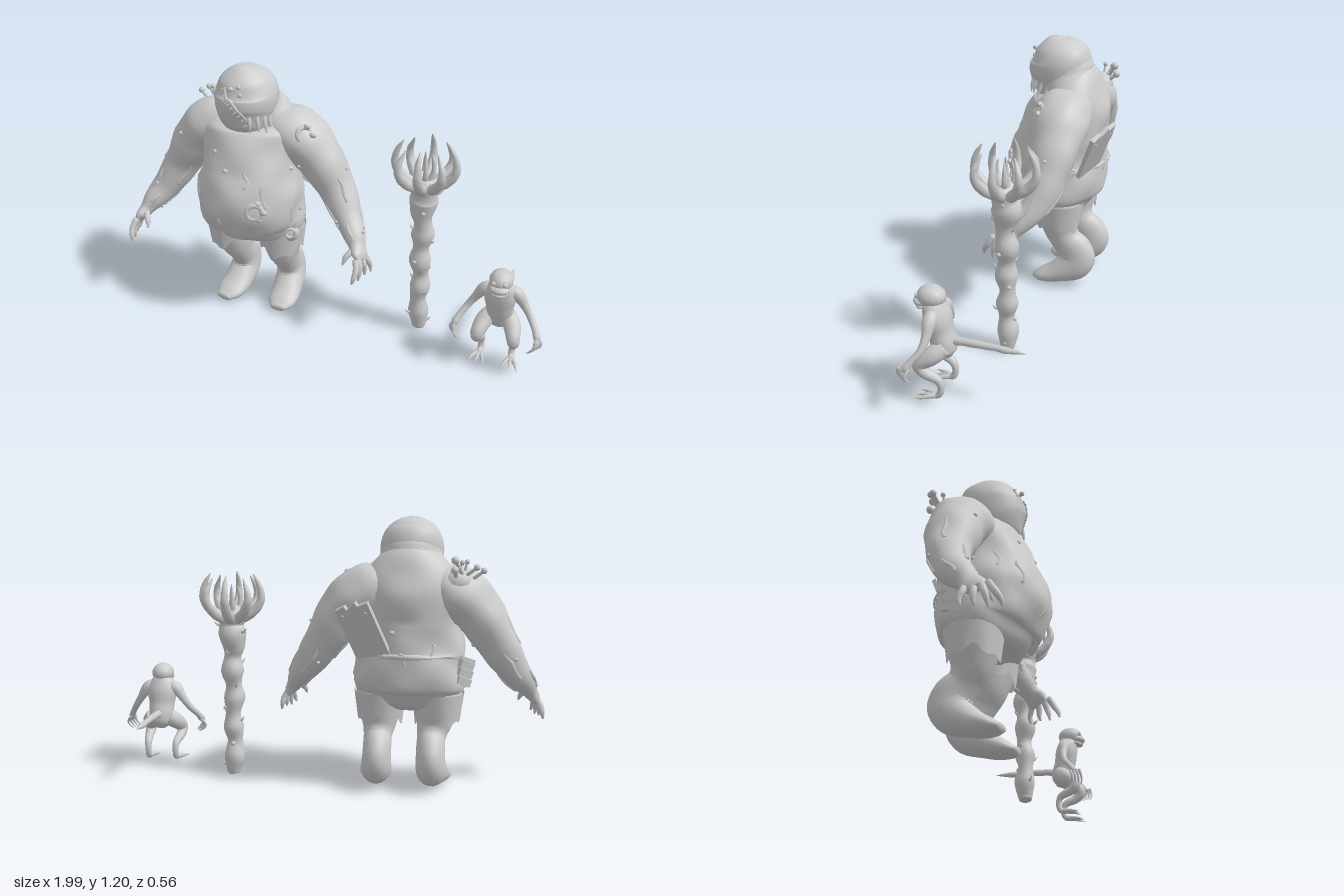
import * as THREE from 'three';

const grey = new THREE.MeshStandardMaterial({ color: 0xcccccc, side: THREE.DoubleSide });
const TAU = Math.PI * 2;

function add(parent, name, geo, pos = [0, 0, 0], rot = [0, 0, 0], scale = [1, 1, 1]) {
  const m = new THREE.Mesh(geo, grey);
  m.name = name;
  m.position.set(...pos);
  m.rotation.set(...rot);
  m.scale.set(...scale);
  parent.add(m);
}

// Smooth organic loft through stations [x, y, z, rx, rz]; returns a surface lookup at(t, angle)
function loft(parent, name, pts, { sides = 16, rings = 6, lump = 0, freq = 26 } = {}) {
  const path = new THREE.CatmullRomCurve3(pts.map(p => new THREE.Vector3(p[0], p[1], p[2])), false, 'catmullrom');
  const size = new THREE.CatmullRomCurve3(pts.map(p => new THREE.Vector3(p[3], p[4] ?? p[3], 0)), false, 'catmullrom');
  const chord = path.points.at(-1).clone().sub(path.points[0]);
  const useZ = Math.abs(chord.x) >= Math.abs(chord.z);
  const X = new THREE.Vector3(1, 0, 0), Z = new THREE.Vector3(0, 0, 1);
  const at = (t, a, k = 1) => {
    const c = path.getPoint(t), r = size.getPoint(t), d = path.getTangent(t);
    const side = new THREE.Vector3(), front = new THREE.Vector3();
    if (useZ) { side.crossVectors(d, Z).normalize(); front.crossVectors(side, d); }
    else { front.crossVectors(X, d).normalize(); side.crossVectors(d, front); }
    const p = side.multiplyScalar(Math.cos(a) * Math.max(r.x, 0)).addScaledVector(front, Math.sin(a) * Math.max(r.y, 0));
    const q = p.clone().add(c);
    const bump = Math.sin(q.x * freq + 1) * Math.sin(q.y * freq * 1.2) + 0.6 * Math.sin(q.z * freq * 1.7 + q.y * freq);
    return p.multiplyScalar(k * (1 + lump * bump)).add(c);
  };
  const n = (pts.length - 1) * rings, pos = [], idx = [];
  for (let i = -1; i <= n + 1; i++) {
    const t = Math.min(Math.max(i / n, 0), 1), k = i < 0 || i > n ? 0 : 1;
    for (let j = 0; j < sides; j++) pos.push(...at(t, j / sides * TAU, k).toArray());
  }
  for (let i = 0; i < n + 2; i++) for (let j = 0; j < sides; j++) {
    const a = i * sides + j, b = i * sides + (j + 1) % sides;
    idx.push(a, a + sides, b, b, a + sides, b + sides);
  }
  const g = new THREE.BufferGeometry();
  g.setAttribute('position', new THREE.Float32BufferAttribute(pos, 3));
  g.setIndex(idx);
  g.computeVertexNormals();
  add(parent, name, g);
  return at;
}

const ball = (parent, name, pos, scale, rot) => add(parent, name, new THREE.SphereGeometry(1, 14, 10), pos, rot, scale);

// Stalk with a bulb on its end
function stalk(parent, name, from, to, r) {
  loft(parent, name, [[...from, r * 0.6], [...to, r * 0.5]], { sides: 7, rings: 3 });
  ball(parent, name + 'Bulb', to, [r, r, r]);
}

// Shallow drip that follows a lofted surface
function drip(parent, name, at, t0, t1, a, r) {
  const pts = [0, 0.35, 0.7, 1].map((k, i) => {
    const p = at(t0 + (t1 - t0) * k, a + 0.06 * Math.sin(i * 2.3 + a * 5), 0.98);
    return [p.x, p.y, p.z, r * [0.4, 1, 0.8, 1][i]];
  });
  loft(parent, name, pts, { sides: 6, rings: 3 });
}

// Open cloth sleeve with a ragged lower hem
function raggedSleeve(parent, x, s) {
  const g = new THREE.CylinderGeometry(0.116, 0.1, 0.12, 32, 4, true), p = g.attributes.position;
  for (let i = 0; i < p.count; i++) {
    const a = Math.atan2(p.getZ(i), p.getX(i)), low = 0.5 - p.getY(i) / 0.12;
    p.setY(i, p.getY(i) + low * (0.018 * Math.sin(a * 3 + s) + 0.014 * Math.sin(a * 7)));
  }
  g.computeVertexNormals();
  add(parent, 'thighCloth', g, [x, 0.375, 0], [0, 0, 0], [1, 1, 1.06]);
}

function makeBrute() {
  const g = new THREE.Group();
  g.name = 'brute';
  g.position.x = -0.39;

  // Trunk from hips to nape
  const body = loft(g, 'torso', [
    [0, 0.36, 0, 0.12, 0.07], [0, 0.395, 0, 0.205, 0.125], [0, 0.44, 0.005, 0.235, 0.172], [0, 0.5, 0.01, 0.247, 0.205],
    [0, 0.57, 0.035, 0.245, 0.237], [0, 0.63, 0.04, 0.24, 0.24], [0, 0.71, 0.025, 0.224, 0.22], [0, 0.8, 0.005, 0.218, 0.203],
    [0, 0.9, -0.025, 0.23, 0.175], [0, 0.97, -0.025, 0.19, 0.137], [0, 1.02, 0, 0.145, 0.128], [0, 1.07, 0.015, 0.125, 0.126],
    [0, 1.11, 0.025, 0.09, 0.1]], { sides: 44, lump: 0.022 });

  // Head with a slanted toothed mouth
  const head = loft(g, 'head', [[0.01, 0.9, 0.085, 0.04, 0.04], [0.008, 0.93, 0.075, 0.092, 0.09], [0, 1.0, 0.05, 0.13, 0.137],
    [0, 1.08, 0.035, 0.14, 0.145], [0, 1.15, 0.045, 0.108, 0.115], [0, 1.188, 0.05, 0.06, 0.065], [0, 1.202, 0.05, 0.01, 0.01]],
    { sides: 28, lump: 0.015 });
  const lip = [];
  for (let i = 0; i <= 9; i++) {
    const k = i / 9, p = head(0.66 - 0.46 * k, 2.05 - 0.95 * k);
    lip.push([p.x, p.y, p.z - 0.003, 0.008]);
    add(g, 'tooth', new THREE.ConeGeometry(0.005, 0.022, 6), [p.x - 0.01, p.y - 0.008, p.z + 0.004], [1.9, 0, 0.5]);
  }
  loft(g, 'lip', lip, { sides: 7, rings: 3 });
  for (let i = 0; i < 4; i++) {
    const p = head(0.24, 0.1 + i * 0.33);
    loft(g, 'chinTentacle', [[p.x - 0.008, p.y + 0.04, p.z - 0.018, 0.014], [p.x + 0.008, p.y - 0.015, p.z, 0.009],
      [p.x + 0.022 - i * 0.004, p.y - 0.05 - 0.01 * (i % 2), p.z + 0.006, 0.002]], { sides: 7, rings: 4 });
  }
  for (const [t, a] of [[0.68, 1.4], [0.62, 1.35]]) ball(g, 'eye', head(t, a).toArray(), [0.01, 0.01, 0.008]);
  stalk(g, 'headStalk', [0.0, 1.12, 0.14], [-0.01, 1.135, 0.17], 0.011);

  for (const s of [-1, 1]) {
    const arm = loft(g, 'arm', [[s * 0.1, 0.9, -0.042, 0.09, 0.11], [s * 0.16, 0.892, -0.04, 0.113, 0.13], [s * 0.22, 0.87, -0.04, 0.12, 0.13],
      [s * 0.3, 0.79, -0.04, 0.108, 0.115], [s * 0.38, 0.66, -0.035, 0.085, 0.09], [s * 0.45, 0.55, 0.0, 0.068, 0.075],
      [s * 0.505, 0.475, 0.055, 0.05, 0.055], [s * 0.53, 0.435, 0.085, 0.035, 0.042], [s * 0.55, 0.405, 0.11, 0.027, 0.05],
      [s * 0.56, 0.385, 0.125, 0.015, 0.04]], { sides: 24, lump: 0.04 });
    for (let i = 0; i < 4; i++) {
      const z = 0.085 + i * 0.026, e = (i - 1.5) * 0.02;
      loft(g, 'finger', [[s * 0.55, 0.41, z, 0.014], [s * (0.578 - i * 0.006), 0.37, z + 0.01 + e * 0.5, 0.014],
        [s * (0.588 - i * 0.011), 0.338, z + 0.015 + e, 0.011], [s * (0.593 - i * 0.015), 0.307 + 0.006 * (i % 2), z + 0.02 + e, 0.004]],
        { sides: 8, rings: 4 });
    }
    loft(g, 'thumb', [[s * 0.53, 0.435, 0.105, 0.018], [s * 0.5, 0.405, 0.145, 0.014], [s * 0.488, 0.37, 0.165, 0.004]],
      { sides: 8, rings: 4 });
    for (let i = 0; i < 7; i++) drip(g, 'armVein', arm, 0.38 + i * 0.04, 0.48 + i * 0.045, i * 2.4, 0.009);
    for (let i = 0; i < 5; i++) ball(g, 'armWart', arm(0.32 + i * 0.09, i * 2.1 + 1).toArray(), [0.009, 0.009, 0.009]);

    // Legs with big slanted feet, heel raised; the right calf stands further in
    const f = s * (s > 0 ? 0.016 : -0.014);
    loft(g, 'leg', [[s * 0.12, 0.45, 0, 0.1, 0.11], [s * 0.13, 0.4, -0.002, 0.107, 0.113], [s * 0.122 + f / 2, 0.3, -0.01, 0.08, 0.09],
      [s * 0.118 + f, 0.235, -0.04, 0.064, 0.075], [s * 0.117 + f, 0.175, -0.09, 0.063, 0.09], [s * 0.12 + f, 0.11, -0.085, 0.068, 0.085],
      [s * 0.128 + f, 0.06, 0, 0.07, 0.055], [s * 0.137 + f / 2, 0.036, 0.07, 0.066, 0.034], [s * 0.142, 0.026, 0.115, 0.035, 0.014]],
      { sides: 22, lump: 0.02 });
    raggedSleeve(g, s * 0.128, s);
  }

  // Wounds, drips and warts
  const wound = (name, p, r, rot) => {
    add(g, name, new THREE.TorusGeometry(r, r * 0.35, 8, 18), p, rot);
    for (let i = 0; i < 5; i++)
      ball(g, name + 'Lump', [p[0] + r * 1.2 * Math.cos(i * 1.26), p[1] + r * 1.2 * Math.sin(i * 1.26), p[2] - 0.008], [r * 0.5, r * 0.4, r * 0.35]);
  };
  wound('bellyWound', [0.11, 0.61, 0.25], 0.034, [0, 0.45, 0]);
  wound('chestWound', [0.11, 0.78, 0.175], 0.022, [-0.3, 0.5, 0]);
  wound('shoulderWound', [0.27, 0.92, 0.05], 0.032, [-0.4, 0.8, 0]);
  for (let i = 0; i < 12; i++) {
    const a = i * 2.4, t = 0.34 + (i * 0.137) % 0.26;
    drip(g, 'bodyDrip', body, t, t - 0.09, a, 0.009);
    if (i % 2) ball(g, 'bodyWart', body(t + 0.03, a + 0.8, 0.98).toArray(), [0.014, 0.011, 0.011]);
  }

  // Bulbed stalks on the back of the right shoulder
  [[-0.22, 1.02, -0.15], [-0.28, 1.0, -0.15], [-0.19, 0.99, -0.18], [-0.24, 1.02, -0.11], [-0.31, 0.985, -0.13], [-0.19, 1.03, -0.17]]
    .forEach((p, i) => stalk(g, 'backStalk', [-0.17 - 0.015 * i, 0.92, -0.1], p, 0.011 + 0.003 * (i % 3)));
  ball(g, 'stalkRoot', [-0.2, 0.93, -0.1], [0.07, 0.06, 0.06]);

  // Broken board stuck in the back
  const board = new THREE.Group();
  board.name = 'backBoard';
  board.position.set(0.19, 0.73, -0.195);
  board.rotation.set(-0.48, -0.22, -0.35);
  const outline = [[-0.08, -0.13], [0.08, -0.13], [0.08, 0.12], [0.03, 0.135], [0.025, 0.115], [-0.025, 0.145], [-0.03, 0.125], [-0.08, 0.135]];
  add(board, 'board', new THREE.ExtrudeGeometry(new THREE.Shape(outline.map(p => new THREE.Vector2(...p))),
    { depth: 0.02, bevelEnabled: false }), [0, 0, -0.01]);
  for (const x of [-0.055, 0.055]) ball(board, 'nail', [x, 0.09, -0.01], [0.006, 0.006, 0.006]);
  g.add(board);

  // Pouch and strapped blocks at the hips
  for (let i = 0; i < 3; i++)
    add(g, 'hipBlock', new THREE.BoxGeometry(0.06, 0.034, 0.08), [-0.24 + i * 0.006, 0.575 - i * 0.037, -0.06], [0, 0.4, 0.35]);
  add(g, 'hipStrap', new THREE.BoxGeometry(0.068, 0.125, 0.02), [-0.235, 0.54, -0.06], [0, 0.4, 0.35]);
  ball(g, 'hipPouch', [0.2, 0.43, 0.06], [0.042, 0.045, 0.042]);
  add(g, 'pouchRim', new THREE.TorusGeometry(0.022, 0.008, 8, 14), [0.215, 0.445, 0.1], [0, 0.4, 0]);
  return g;
}

function makeStaff() {
  const g = new THREE.Group();
  g.name = 'staff';
  g.position.x = 0.413;
  const shaft = [[0.016, 0.028], [0.04, 0.035], [0.1, 0.047], [0.17, 0.035], [0.235, 0.047], [0.3, 0.034], [0.37, 0.049], [0.435, 0.036],
    [0.5, 0.052], [0.56, 0.039], [0.61, 0.05], [0.67, 0.064], [0.71, 0.054], [0.75, 0.064], [0.78, 0.04], [0.79, 0.01]];
  const at = loft(g, 'shaft', shaft.map(([y, r], i) => [i ? 0.004 * Math.sin(i * 1.7) : 0, y, i ? 0.004 * Math.cos(i * 2) : 0, r]),
    { sides: 18, rings: 4, lump: 0.025, freq: 50 });
  const claw = (name, pts, a) => {
    const p = new THREE.Group();
    p.name = name;
    p.rotation.y = a;
    loft(p, name, pts, { sides: 9, rings: 5, lump: 0.04, freq: 90 });
    g.add(p);
  };
  for (let i = 0; i < 8; i++) {
    const h = 0.015 * (i % 2);
    claw('outerClaw', [[0.03, 0.735, 0, 0.024], [0.085, 0.765, 0, 0.024], [0.126, 0.81, 0, 0.02], [0.135, 0.855, 0, 0.016],
      [0.12, 0.905 - h, 0, 0.011], [0.098, 0.943 - h, 0, 0.002]], i * TAU / 8);
  }
  for (let i = 0; i < 4; i++)
    claw('innerClaw', [[0.025, 0.77, 0, 0.016], [0.036, 0.81, 0, 0.012], [0.035, 0.85, 0, 0.008], [0.025, 0.89, 0, 0.002]], i * TAU / 4 + 0.3);
  // Thorns and knots
  for (let i = 0; i < 14; i++) {
    const p = at(0.08 + i * 0.055, i * 2.4);
    if (i % 3 === 2) ball(g, 'knot', p.toArray(), [0.01, 0.01, 0.01]);
    else loft(g, 'thorn', [[p.x * 0.8, p.y, p.z * 0.8, 0.01], [p.x * 1.15, p.y + 0.006, p.z * 1.15, 0.006],
      [p.x * 1.4, p.y + 0.02, p.z * 1.4, 0.001]], { sides: 6, rings: 2 });
  }
  return g;
}

function makeImp() {
  const g = new THREE.Group();
  g.name = 'imp';
  g.position.x = 0.8;
  loft(g, 'body', [[0, 0.185, 0.1, 0.02, 0.02], [0, 0.21, 0.105, 0.05, 0.042], [0, 0.25, 0.11, 0.058, 0.05], [0, 0.3, 0.125, 0.06, 0.052],
    [0, 0.355, 0.135, 0.07, 0.055], [0, 0.4, 0.145, 0.06, 0.048], [0, 0.43, 0.15, 0.038, 0.042]], { sides: 18, lump: 0.015 });
  ball(g, 'skull', [0, 0.445, 0.157], [0.051, 0.046, 0.06]);
  ball(g, 'muzzle', [0, 0.422, 0.198], [0.042, 0.02, 0.034]);
  ball(g, 'jaw', [0, 0.402, 0.188], [0.037, 0.012, 0.034], [0.2, 0, 0]);
  for (let i = 0; i < 7; i++)
    add(g, 'tooth', new THREE.ConeGeometry(0.004, 0.014, 5), [(i - 3) * 0.01, 0.409, 0.224 - 0.0016 * (i - 3) ** 2], [Math.PI, 0, 0]);
  // Straight pointed tail
  loft(g, 'tail', [[0, 0.25, 0.11, 0.026], [0, 0.262, 0.06, 0.018], [0, 0.265, -0.03, 0.016], [0, 0.266, -0.11, 0.013],
    [0, 0.264, -0.15, 0.014], [0, 0.266, -0.19, 0.009], [0, 0.266, -0.232, 0.001]], { sides: 10, lump: 0.05, freq: 60 });
  for (const s of [-1, 1]) {
    ball(g, 'eye', [s * 0.024, 0.45, 0.207], [0.011, 0.011, 0.009]);
    loft(g, 'arm', [[s * 0.035, 0.39, 0.135, 0.025], [s * 0.07, 0.375, 0.135, 0.028], [s * 0.105, 0.325, 0.135, 0.019],
      [s * 0.135, 0.28, 0.145, 0.015], [s * 0.163, 0.24, 0.175, 0.014], [s * 0.175, 0.215, 0.192, 0.016], [s * 0.177, 0.2, 0.197, 0.008]],
      { sides: 12, lump: 0.03, freq: 40 });
    for (let i = 0; i < 4; i++) {
      const z = 0.18 + i * 0.014;
      loft(g, 'claw', [[s * 0.175, 0.215, z, 0.008], [s * (0.196 - i * 0.008), 0.188, z + 0.008, 0.006],
        [s * (0.188 - i * 0.01), 0.167, z + 0.009, 0.0045], [s * (0.165 - i * 0.008), 0.15, z + 0.004, 0.001]], { sides: 7, rings: 3 });
    }
    // Crouched legs with splayed toes
    loft(g, 'leg', [[s * 0.03, 0.245, 0.1, 0.036], [s * 0.06, 0.215, 0.135, 0.038], [s * 0.078, 0.175, 0.185, 0.029],
      [s * 0.078, 0.14, 0.165, 0.023], [s * 0.07, 0.115, 0.115, 0.018], [s * 0.068, 0.08, 0.1, 0.014], [s * 0.068, 0.045, 0.11, 0.014],
      [s * 0.07, 0.037, 0.14, 0.013]], { sides: 12 });
    for (let i = 0; i < 3; i++)
      loft(g, 'toe', [[s * 0.069, 0.04, 0.12, 0.012], [s * (0.05 + i * 0.022), 0.035, 0.165, 0.008],
        [s * (0.04 + i * 0.034), 0.027, 0.203, 0.001]], { sides: 7, rings: 3 });
  }
  return g;
}

export function createModel() {
  const model = new THREE.Group();
  model.name = 'bruteStaffAndImp';
  model.add(makeBrute(), makeStaff(), makeImp());
  return model;
}
